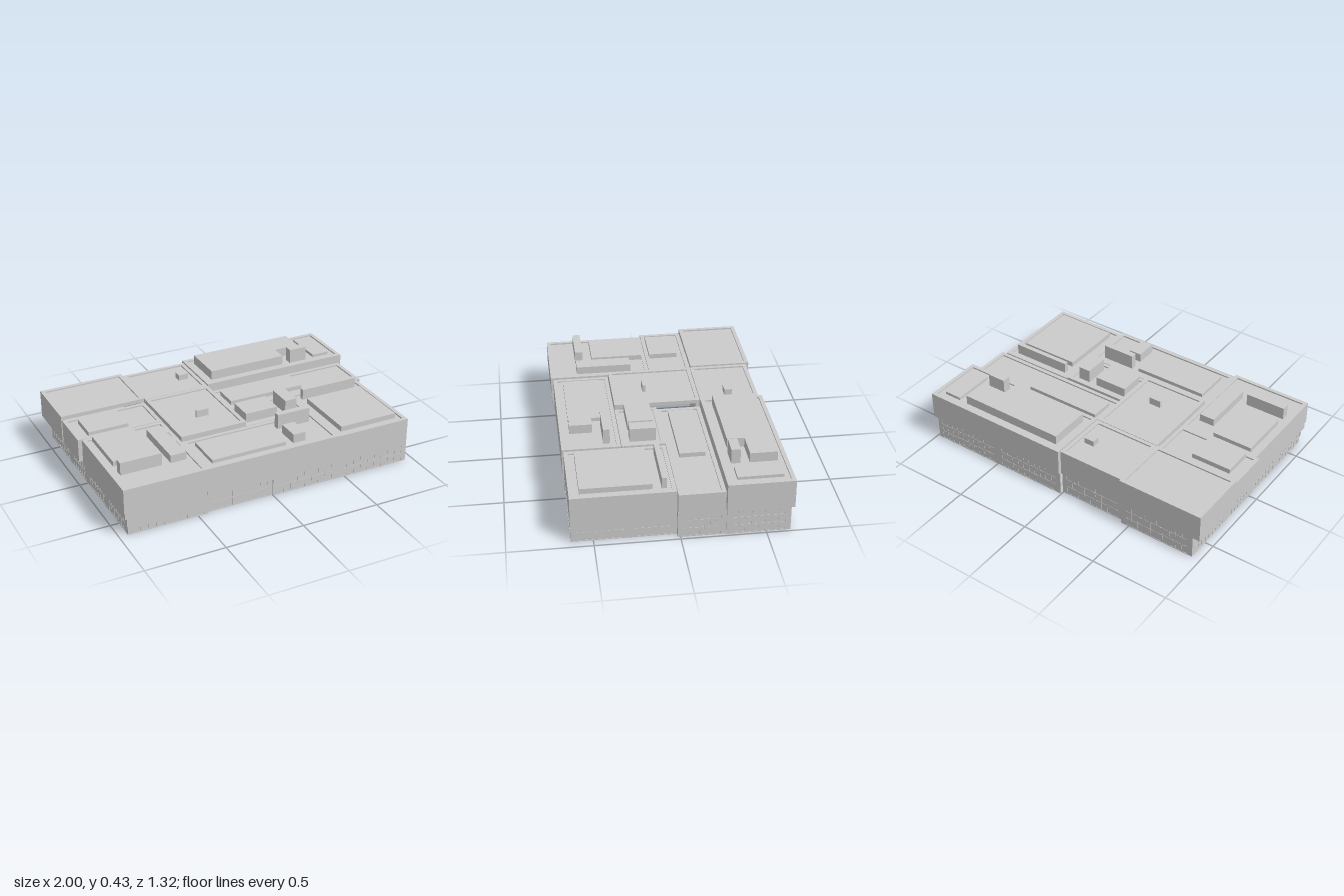
import * as THREE from 'three';

const material = new THREE.MeshStandardMaterial({ color: 0xcccccc, flatShading: true });

function addMesh(parent, name, geometry) {
  const mesh = new THREE.Mesh(geometry, material);
  mesh.name = name;
  parent.add(mesh);
  return mesh;
}

// Box given by its limits on each axis
function addBox(parent, name, x0, x1, y0, y1, z0, z1) {
  const mesh = addMesh(parent, name, new THREE.BoxGeometry(x1 - x0, y1 - y0, z1 - z0));
  mesh.position.set((x0 + x1) / 2, (y0 + y1) / 2, (z0 + z1) / 2);
}

function rectangle(path, x0, x1, y0, y1) {
  path.moveTo(x0, y0);
  path.lineTo(x1, y0);
  path.lineTo(x1, y1);
  path.lineTo(x0, y1);
  path.closePath();
  return path;
}

// Hollow upper storey: parapet around a sunken roof, with walls below it
// on every side that is not open to the neighbouring block
function addBlock(parent, name, [x0, x1, z0, z1, y0, y1, open = '']) {
  const block = new THREE.Group();
  block.name = name;
  const t = 0.025;
  const eaves = y1 - 0.025;
  const shape = rectangle(new THREE.Shape(), x0, x1, -z1, -z0);
  shape.holes.push(rectangle(new THREE.Path(), x0 + t, x1 - t, -z1 + t, -z0 - t));
  const parapet = addMesh(block, 'parapet',
    new THREE.ExtrudeGeometry(shape, { depth: y1 - eaves, bevelEnabled: false }));
  parapet.rotation.x = -Math.PI / 2;
  parapet.position.y = eaves;
  addBox(block, 'roof', x0 + t, x1 - t, eaves, y1 - 0.009, z0 + t, z1 - t);
  const sides = {
    west: [x0, x0 + t, z0, z1],
    east: [x1 - t, x1, z0, z1],
    north: [x0, x1, z0, z0 + t],
    south: [x0, x1, z1 - t, z1],
  };
  for (const [side, [a, b, c, d]] of Object.entries(sides)) {
    if (!open.includes(side)) addBox(block, side + 'Wall', a, b, y0, eaves, c, d);
  }
  parent.add(block);
}

// Ground floor wall with rows of shallow windows and floor slabs behind it
function addFacade(parent, name, [x, z, angle, length, height, floors, cols]) {
  const facade = new THREE.Group();
  facade.name = name;
  const shape = rectangle(new THREE.Shape(), -length / 2, length / 2, 0, height);
  const margin = 0.03;
  const pitch = (length - 2 * margin) / cols;
  const rise = (height - 0.006) / floors;
  for (let row = 0; row < floors; row++) {
    for (let col = 0; col < cols; col++) {
      const wx = -length / 2 + margin + col * pitch;
      const wy = 0.006 + row * rise;
      shape.holes.push(rectangle(new THREE.Path(),
        wx + 0.003, wx + pitch - 0.003, wy, wy + rise - 0.007));
    }
  }
  const wall = addMesh(facade, 'windowWall',
    new THREE.ExtrudeGeometry(shape, { depth: 0.002, bevelEnabled: false }));
  wall.position.z = -0.002;
  addBox(facade, 'windowPanes', -length / 2, length / 2, 0, height, -0.01, -0.002);
  for (let row = 0; row <= floors; row++) {
    const y = row * (height - 0.006) / floors;
    addBox(facade, 'floorSlab', -length / 2, length / 2, y, y + 0.006, -0.07, -0.01);
  }
  facade.position.set(x, 0, z);
  facade.rotation.y = angle;
  parent.add(facade);
}

export function createModel() {
  const model = new THREE.Group();
  model.name = 'buildingComplex';

  // Upper storeys: x0, x1, z0, z1, y0, y1, sides open to a neighbour
  const blocks = {
    backWestWing: [-1, -0.445, -0.66, -0.27, 0.165, 0.342, 'south'],
    backMiddle: [-0.44, -0.003, -0.64, -0.265, 0.165, 0.335],
    backEastWing: [0, 1, -0.66, -0.265, 0.165, 0.343],
    westWing: [-0.995, -0.445, -0.268, 0.005, 0.165, 0.315, 'north south'],
    centre: [-0.44, -0.003, -0.262, 0.28, 0.165, 0.335, 'east'],
    eastWing: [0, 0.98, -0.262, 0.013, 0.165, 0.288],
    frontWestWing: [-0.97, -0.445, 0.007, 0.655, 0.165, 0.313, 'north'],
    frontMiddle: [-0.44, 0.44, 0.283, 0.64, 0.115, 0.303],
    innerCourt: [0, 0.44, 0.016, 0.28, 0.165, 0.303, 'west'],
    frontEastWing: [0.443, 0.947, 0.016, 0.63, 0.115, 0.293],
  };
  for (const [name, size] of Object.entries(blocks)) addBlock(model, name, size);

  // Stepped courses under the front west wing
  addBox(model, 'frontCourse', -0.965, -0.445, 0.115, 0.165, 0.625, 0.65);
  addBox(model, 'westCourse', -0.965, -0.94, 0.115, 0.165, 0.007, 0.625);
  addBox(model, 'frontLowerCourse', -0.95, -0.445, 0.055, 0.115, 0.625, 0.642);

  // Ground floor walls: x, z of the middle, heading, length, height, floors, columns
  const q = Math.PI / 2;
  const facades = [
    [-0.69, 0.635, 0, 0.51, 0.115, 2, 9],
    [-0.22, 0.622, 0, 0.44, 0.115, 2, 8],
    [0.22, 0.63, 0, 0.44, 0.115, 2, 8],
    [0.693, 0.63, 0, 0.507, 0.115, 2, 9],
    [0.947, 0.46, q, 0.34, 0.115, 2, 7],
    [0.947, 0.15, q, 0.285, 0.115, 2, 6],
    [0.98, -0.127, q, 0.28, 0.165, 3, 7],
    [0.985, -0.455, q, 0.375, 0.165, 3, 8],
    [0.74, -0.643, 2 * q, 0.49, 0.165, 3, 10],
    [0.25, -0.643, 2 * q, 0.49, 0.165, 3, 10],
    [-0.22, -0.62, 2 * q, 0.45, 0.165, 3, 9],
    [-0.695, -0.643, 2 * q, 0.5, 0.165, 3, 10],
    [-0.945, -0.455, -q, 0.375, 0.165, 3, 8],
    [-0.945, -0.13, -q, 0.275, 0.165, 3, 6],
    [-0.945, 0.165, -q, 0.315, 0.115, 2, 6],
    [-0.945, 0.477, -q, 0.31, 0.115, 2, 7],
  ];
  facades.forEach((f) => addFacade(model, 'groundFloorFacade', f));

  // Return walls where the taller ground floor steps down
  addBox(model, 'eastReturnWall', 0.88, 0.98, 0, 0.165, 0.003, 0.015);
  addBox(model, 'westReturnWall', -0.945, -0.87, 0, 0.165, -0.005, 0.008);

  // Rooftop volumes: x0, x1, z0, z1, bottom, top
  const rooftop = [
    [0.06, 0.76, -0.6, -0.435, 0.32, 0.395],
    [0.06, 0.585, -0.435, -0.33, 0.32, 0.395],
    [0.64, 0.76, -0.38, -0.325, 0.32, 0.427],
    [0.82, 0.935, -0.6, -0.33, 0.32, 0.353],
    [0.06, 0.57, -0.205, -0.05, 0.265, 0.307],
    [-0.13, -0.063, -0.48, -0.43, 0.315, 0.363],
    [-0.245, -0.165, 0.065, 0.083, 0.315, 0.373],
    [-0.915, -0.655, -0.205, -0.02, 0.295, 0.337],
    [-0.915, -0.655, 0.035, 0.37, 0.295, 0.337],
    [-0.915, -0.655, 0.43, 0.48, 0.295, 0.384],
    [-0.6, -0.5, 0.125, 0.48, 0.295, 0.353],
    [-0.38, 0.108, 0.345, 0.58, 0.285, 0.318],
    [0.16, 0.38, 0.345, 0.385, 0.285, 0.39],
    [0.16, 0.243, 0.44, 0.58, 0.285, 0.352],
    [0.025, 0.243, 0.065, 0.225, 0.285, 0.355],
    [0.3, 0.38, 0.065, 0.225, 0.285, 0.381],
    [0.5, 0.89, 0.15, 0.57, 0.275, 0.318],
    [0.5, 0.89, 0.067, 0.097, 0.275, 0.353],
  ];
  for (const [x0, x1, z0, z1, y0, y1] of rooftop) {
    addBox(model, 'rooftopVolume', x0, x1, y0, y1, z0, z1);
  }
  return model;
}
